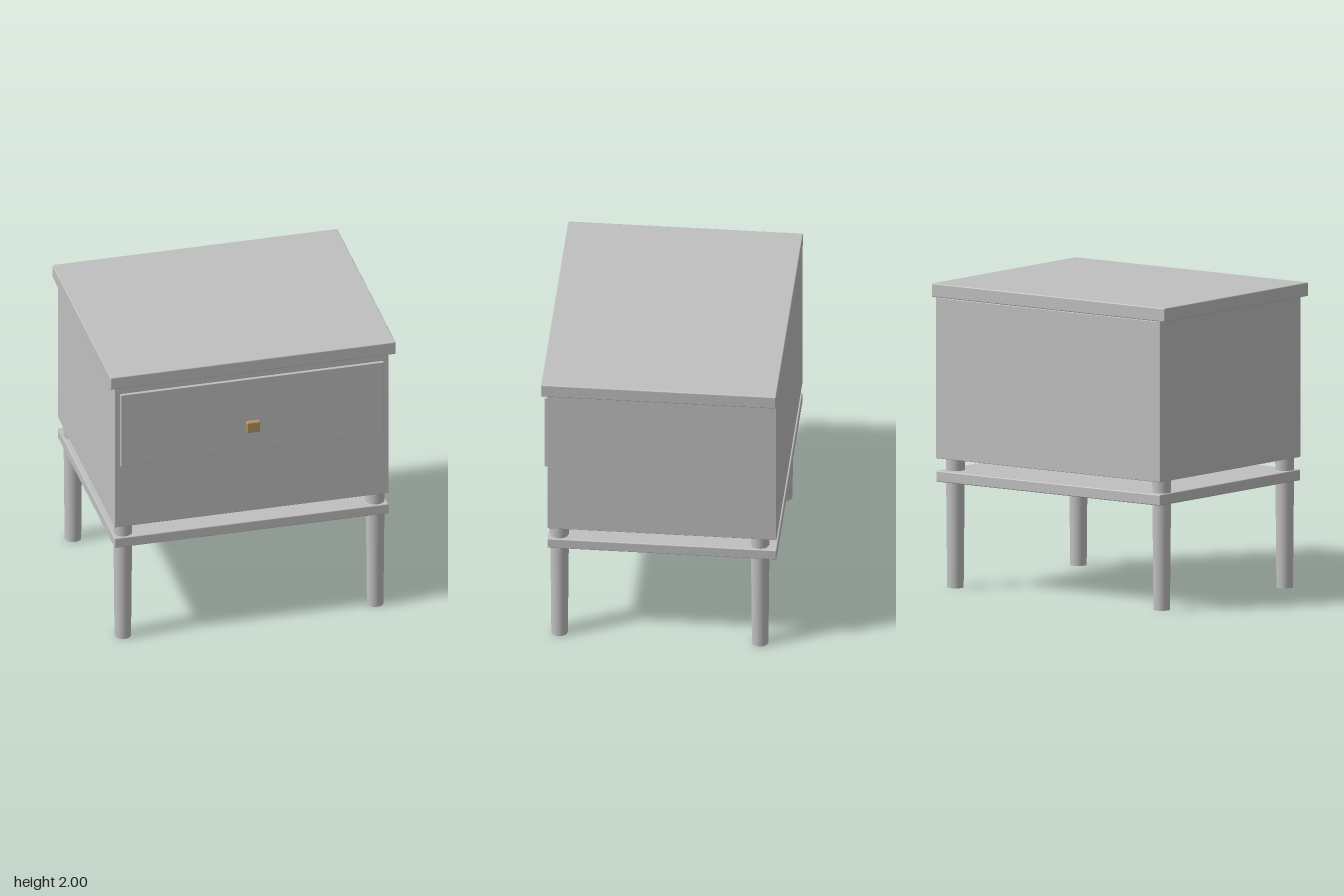
import * as THREE from 'three';
import { RoundedBoxGeometry } from 'three/addons/geometries/RoundedBoxGeometry.js';

export function createModel() {
  const group = new THREE.Group();
  group.name = 'nightstand';

  const grey = new THREE.MeshStandardMaterial({ color: 0xc0c0c0 });
  grey.name = 'light grey';
  const brass = new THREE.MeshStandardMaterial({ color: 0xb39460 });
  brass.name = 'brass';

  // Softly edged box given by its extents on each axis
  function box(name, [x0, x1], [y0, y1], [z0, z1], material, radius) {
    const geometry = new RoundedBoxGeometry(x1 - x0, y1 - y0, z1 - z0, 2, radius);
    const mesh = new THREE.Mesh(geometry, material);
    mesh.position.set((x0 + x1) / 2, (y0 + y1) / 2, (z0 + z1) / 2);
    mesh.name = name;
    group.add(mesh);
  }

  // Cabinet and boards, flush at the back
  box('top', [-0.957, 0.957], [1.91, 2], [-0.775, 0.76], grey, 0.007);
  box('cabinet', [-0.92, 0.92], [0.854, 1.91], [-0.775, 0.722], grey, 0.004);
  box('shelf', [-0.92, 0.92], [0.7, 0.772], [-0.775, 0.722], grey, 0.007);

  // Drawer front, standing slightly proud, and its knob
  box('drawerFront', [-0.883, 0.883], [1.312, 1.85], [0.7, 0.742], grey, 0.004);
  box('knob', [-0.045, 0.045], [1.466, 1.543], [0.741, 0.776], brass, 0.008);

  // Tapered legs running through the shelf to the cabinet
  const legHeight = 0.856;
  const legGeometry = new THREE.CylinderGeometry(0.062, 0.054, legHeight, 32);
  for (const [side, x] of [['Left', 0.847], ['Right', -0.847]]) {
    for (const [end, z] of [['front', 0.648], ['back', -0.662]]) {
      const leg = new THREE.Mesh(legGeometry, grey);
      leg.position.set(x, legHeight / 2, z);
      leg.name = `${end}${side}Leg`;
      group.add(leg);
    }
  }

  return group;
}
